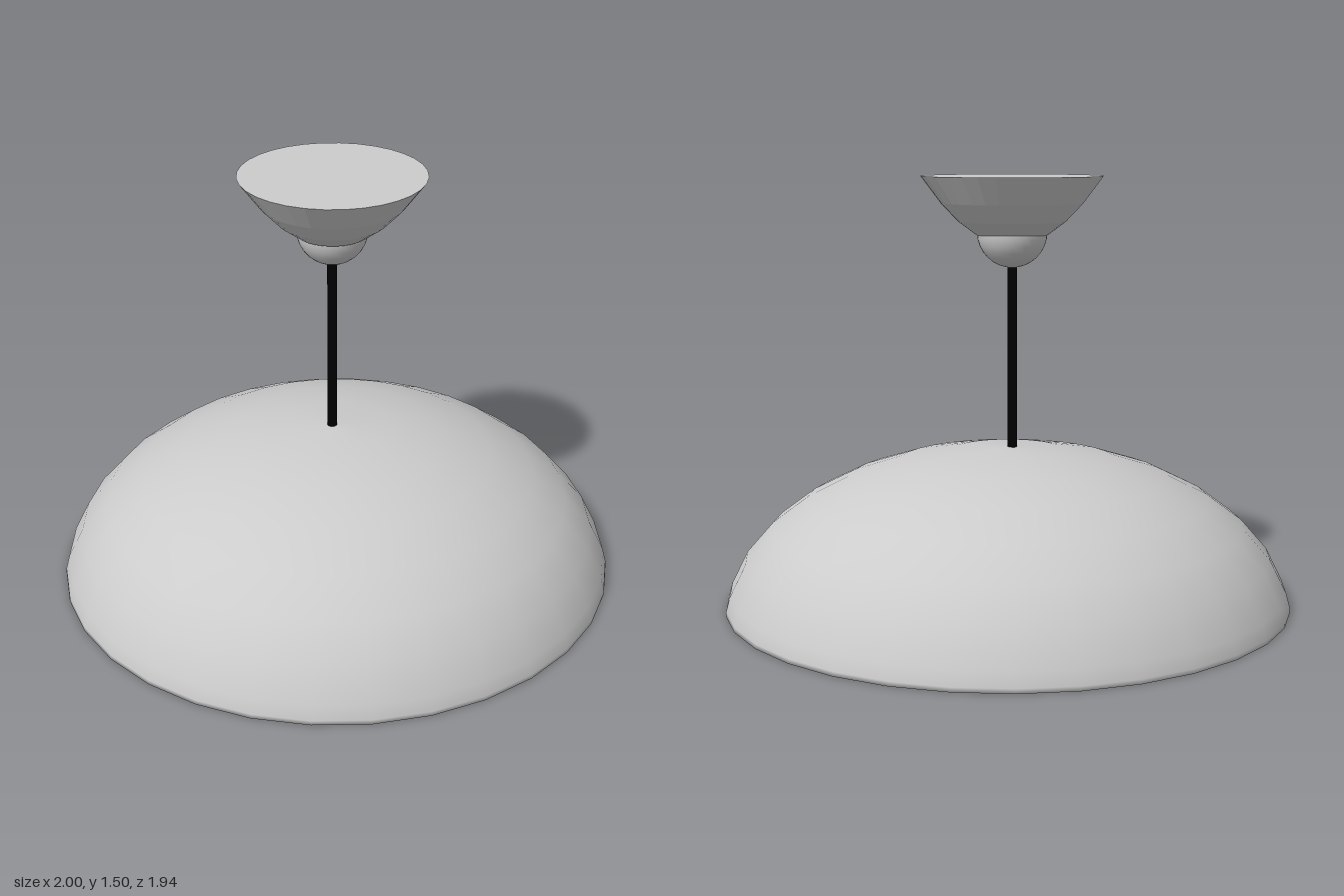
import * as THREE from 'three';

export function createModel() {
  const lamp = new THREE.Group();
  const material = (color, options = {}) => new THREE.MeshStandardMaterial({ color, ...options });
  const grey = material(0xcccccc);
  const facetedGrey = material(0xcccccc, { flatShading: true });
  const black = material(0x000000);
  const yellow = material(0xdfe62a);

  function add(name, geometry, mat, x = 0, y = 0, z = 0) {
    const mesh = new THREE.Mesh(geometry, mat);
    mesh.name = name;
    mesh.position.set(x, y, z);
    lamp.add(mesh);
    return mesh;
  }
  const lathe = (points, segments = 32) =>
    new THREE.LatheGeometry(points.map(([r, y]) => new THREE.Vector2(r, y)), segments);

  // Shade: a dome with a shallower inner skin, thin at the rim and thicker at the crown
  const dome = (radius, height) => Array.from({ length: 8 }, (_, i) => {
    const a = (i * Math.PI) / 16;
    return [radius * Math.sin(a), height * Math.cos(a) - 0.056];
  });
  const inner = dome(0.99, 0.521);
  const outer = dome(1.004, 0.612).reverse();
  const shade = add('shade', lathe([...inner, [0.985, 0], [1, 0], [0.998, 0.015], ...outer]), grey);
  shade.scale.z = 0.969;

  // Rod from the crown of the shade up into the ball joint
  add('rod', new THREE.CylinderGeometry(0.017, 0.017, 0.7, 12), black, -0.015, 0.88, 0.001);

  // Ball joint under the ceiling canopy
  add('ballJoint', new THREE.SphereGeometry(0.122, 32, 16), grey, -0.015, 1.309, 0.007);

  // Ceiling canopy: a faceted bowl with a flat top
  add('canopy', lathe([[0, 1.3], [0.125, 1.3], [0.187, 1.346], [0.248, 1.41], [0.317, 1.503], [0, 1.503]]),
    facetedGrey, -0.015, 0, 0.015);

  // Socket set into the inner skin, with softened edges
  add('socket', lathe([[0, 0.392], [0.092, 0.392], [0.1, 0.396], [0.102, 0.405],
    [0.102, 0.49], [0, 0.49]]), grey, -0.015, 0, 0.005);

  // Egg-shaped bulb: round below, tapering to a rounded tip in the socket
  const bulb = [];
  for (let i = 0; i <= 10; i++) {
    const a = (i / 10) * Math.PI * 0.6;
    bulb.push([0.112 * Math.sin(a), 0.215 - 0.112 * Math.cos(a)]);
  }
  bulb.push([0.094, 0.295], [0.074, 0.34], [0.053, 0.375], [0.03, 0.395], [0, 0.402]);
  add('bulb', lathe(bulb), yellow, -0.015, 0, 0.005);

  return lamp;
}
